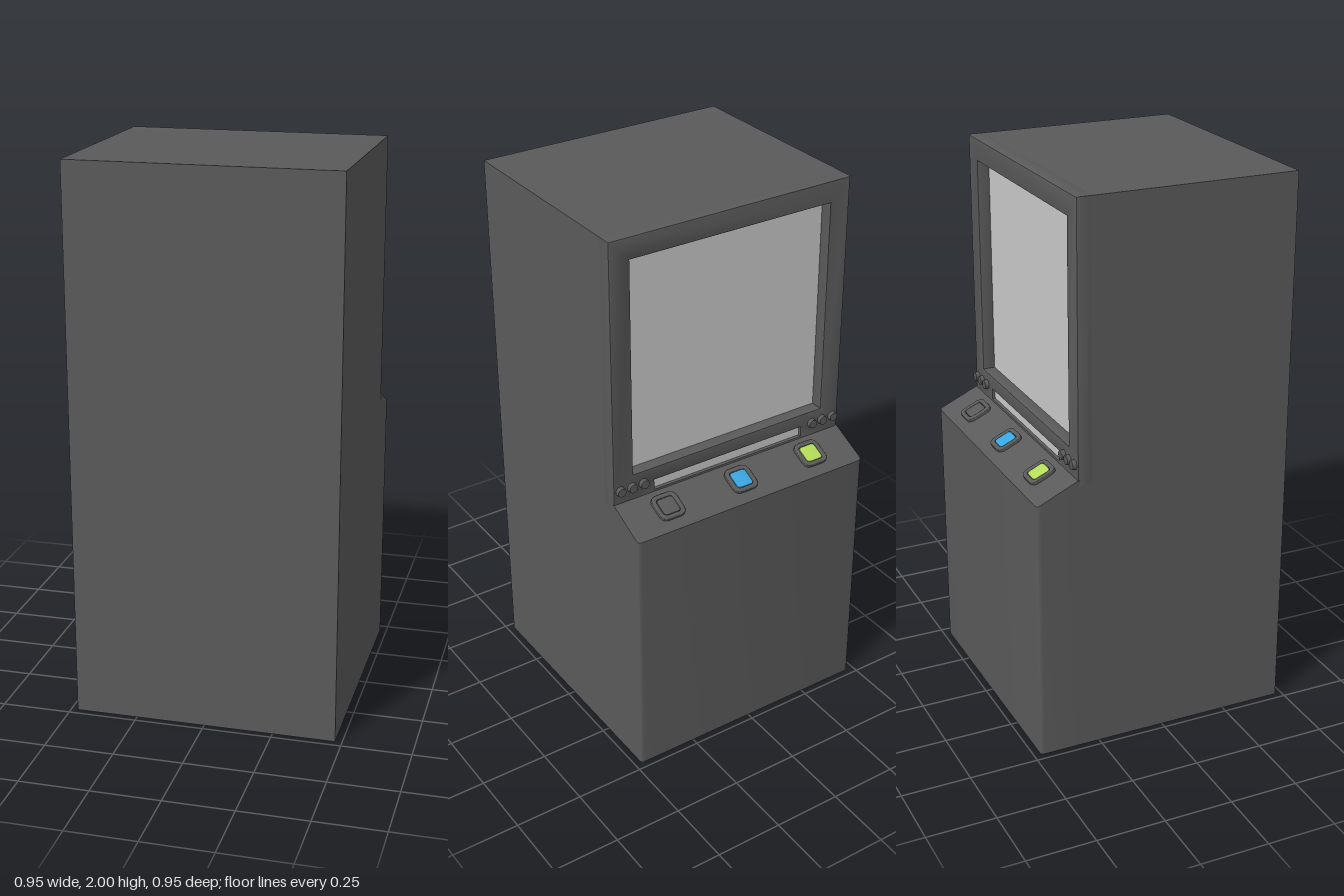
import * as THREE from 'three';
import { toCreasedNormals } from 'three/addons/utils/BufferGeometryUtils.js';

const HALF = 0.475;      // half width and half depth
const FACE = -0.325;     // plane of the screen surround
const RECESS = -0.275;   // plane of the display
const DECK = 1.034;      // console height at the screen
const LIP = 0.965;       // console height at its outer edge

function material(name, color) {
  const m = new THREE.MeshStandardMaterial({ color });
  m.name = name;
  return m;
}

function rectPath(Type, x0, y0, x1, y1) {
  const p = new Type();
  p.moveTo(x0, y0);
  p.lineTo(x1, y0);
  p.lineTo(x1, y1);
  p.lineTo(x0, y1);
  p.closePath();
  return p;
}

// Centred square with rounded corners
function roundedSquare(Type, size, r) {
  const h = size / 2, p = new Type();
  p.moveTo(-h + r, -h);
  p.lineTo(h - r, -h);
  p.quadraticCurveTo(h, -h, h, -h + r);
  p.lineTo(h, h - r);
  p.quadraticCurveTo(h, h, h - r, h);
  p.lineTo(-h + r, h);
  p.quadraticCurveTo(-h, h, -h, h - r);
  p.lineTo(-h, -h + r);
  p.quadraticCurveTo(-h, -h, -h + r, -h);
  return p;
}

// Upright extrusion with softened rims, overall height h above y = 0
function pad(shape, h, bevel) {
  const g = new THREE.ExtrudeGeometry(shape, {
    depth: h - bevel, bevelThickness: bevel, bevelSize: bevel, bevelOffset: -bevel,
    bevelSegments: 3, curveSegments: 5,
  });
  return toCreasedNormals(g.rotateX(-Math.PI / 2), 0.7);
}

export function createModel() {
  const model = new THREE.Group();
  model.name = 'arcadeCabinet';
  const grey = material('cabinetGrey', 0x5a5a5a);
  const pale = material('screenGrey', 0xcacaca);
  const blue = material('buttonBlue', 0x3aa6e0);
  const green = material('buttonGreen', 0xb4de5a);

  function add(name, geometry, mat, parent = model) {
    const mesh = new THREE.Mesh(geometry, mat);
    mesh.name = name;
    parent.add(mesh);
    return mesh;
  }

  function box(name, x, y0, y1, z0, z1, mat) {
    const mesh = add(name, new THREE.BoxGeometry(x * 2, y1 - y0, z1 - z0), mat);
    mesh.position.set(0, (y0 + y1) / 2, (z0 + z1) / 2);
  }

  // Main body and the step under the screen
  box('body', HALF, 0, 2, RECESS, HALF, grey);
  box('bodyStep', HALF, 0, DECK, FACE, RECESS, grey);

  // Screen surround: chamfered slab with a display opening and a lower slot
  const frame = rectPath(THREE.Shape, -HALF, DECK - 0.02, HALF, 2);
  frame.holes.push(rectPath(THREE.Path, -0.395, 1.13, 0.395, 1.92));
  frame.holes.push(rectPath(THREE.Path, -0.31, 1.042, 0.31, 1.078));
  const bevel = 0.007;
  const frameGeo = new THREE.ExtrudeGeometry(frame, {
    depth: 0.05, bevelThickness: bevel, bevelSize: bevel, bevelOffset: -bevel, bevelSegments: 2,
  });
  add('screenSurround', toCreasedNormals(frameGeo, 0.6), grey).position.z = FACE + bevel;

  // Display and the pale strip in the slot
  box('screen', 0.4, 1.12, 1.925, RECESS - 0.005, RECESS, pale);
  box('slotPanel', 0.315, 1.036, 1.085, FACE + 0.012, FACE + 0.02, pale);

  // Lower front with softened upright corners; its top is sheared to a slope
  const r = 0.014;
  const plan = new THREE.Shape();
  plan.moveTo(-HALF, -FACE);
  plan.lineTo(HALF, -FACE);
  plan.lineTo(HALF, HALF - r);
  plan.quadraticCurveTo(HALF, HALF, HALF - r, HALF);
  plan.lineTo(-HALF + r, HALF);
  plan.quadraticCurveTo(-HALF, HALF, -HALF, HALF - r);
  plan.closePath();
  const consoleGeo = new THREE.ExtrudeGeometry(plan, { depth: 1, bevelEnabled: false, curveSegments: 5 });
  consoleGeo.rotateX(-Math.PI / 2);
  const slope = (DECK - LIP) / (HALF + FACE);
  const deckY = (z) => DECK - (FACE - z) * slope;
  const pos = consoleGeo.attributes.position;
  for (let i = 0; i < pos.count; i++) {
    if (pos.getY(i) > 0.5) pos.setY(i, deckY(pos.getZ(i)));
  }
  add('console', toCreasedNormals(consoleGeo, 0.4), grey);

  // Three square buttons in raised rings, lying on the slope
  const ringShape = roundedSquare(THREE.Shape, 0.1, 0.028);
  ringShape.holes.push(roundedSquare(THREE.Path, 0.068, 0.014));
  const ringGeo = pad(ringShape, 0.013, 0.004);
  const buttonGeo = pad(roundedSquare(THREE.Shape, 0.065, 0.013), 0.011, 0.002);
  [['green', -0.303, green], ['blue', 0, blue], ['grey', 0.303, grey]].forEach(([name, x, mat]) => {
    const unit = new THREE.Group();
    unit.name = name + 'ButtonUnit';
    unit.position.set(x, deckY(-0.392), -0.392);
    unit.rotation.x = -Math.atan(slope);
    add('buttonRing', ringGeo, grey, unit);
    add('button', buttonGeo, mat, unit);
    model.add(unit);
  });

  // Rows of three small studs at both ends of the slot
  const studGeo = new THREE.CylinderGeometry(0.016, 0.018, 0.016, 20).rotateX(-Math.PI / 2);
  for (const side of [-1, 1]) {
    for (let i = 0; i < 3; i++) {
      add('stud', studGeo, grey).position.set(side * (0.357 + i * 0.046), 1.083, FACE - 0.006);
    }
  }
  return model;
}
